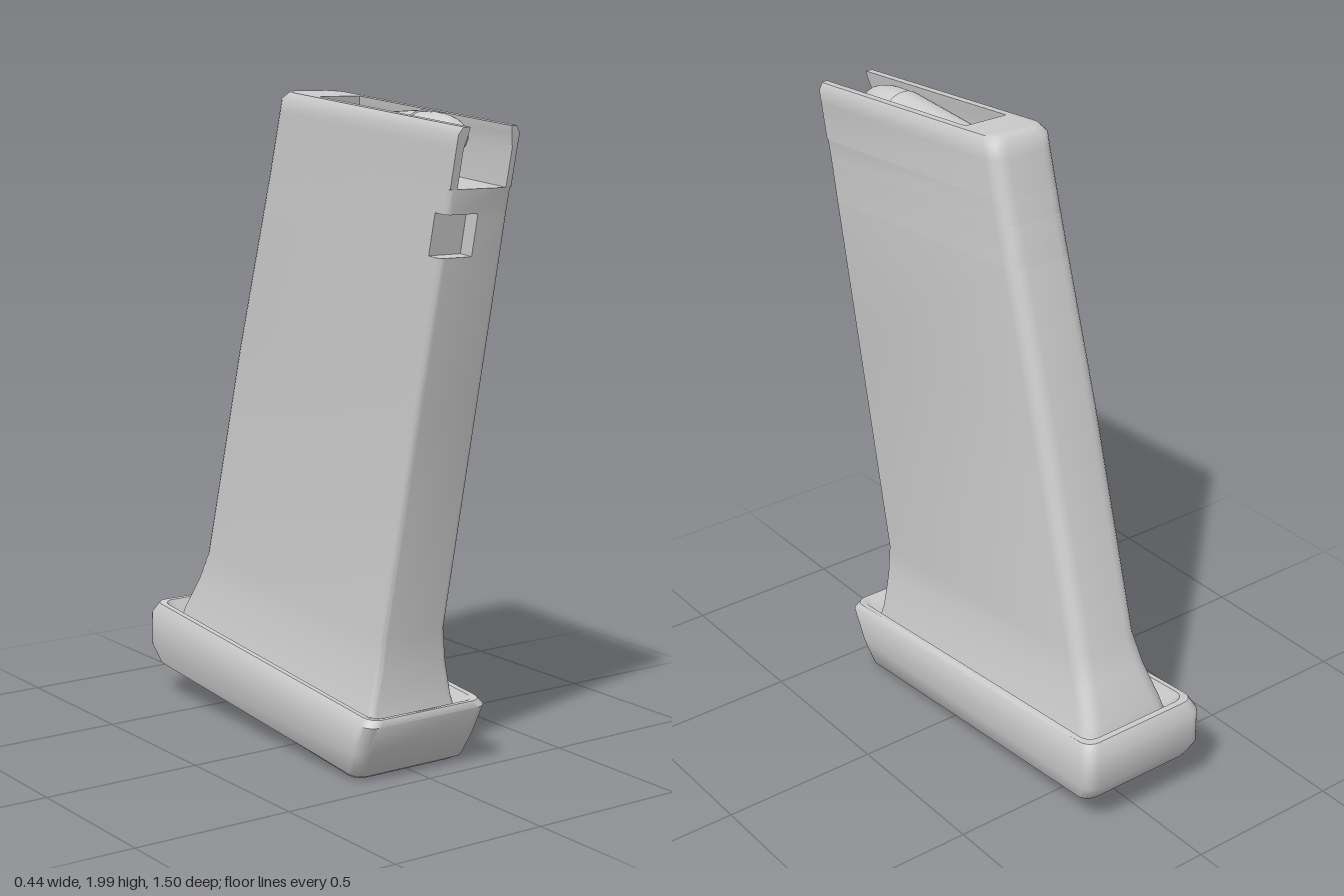
import * as THREE from 'three';
import { toCreasedNormals } from 'three/addons/utils/BufferGeometryUtils.js';

const lerp = THREE.MathUtils.lerp;
const grey = () => new THREE.MeshStandardMaterial({ color: 0xcccccc });

function named(name, geometry) {
  const mesh = new THREE.Mesh(geometry, grey());
  mesh.name = name;
  return mesh;
}

// Quarter-round corner, as points (x, -z)
function corner(cx, cv, r, quarter, steps = 5) {
  return Array.from({ length: steps + 1 }, (_, i) => {
    const a = (quarter + i / steps) * Math.PI / 2;
    return new THREE.Vector2(cx + r * Math.cos(a), cv + r * Math.sin(a));
  });
}

// Outlines seen from above, counter-clockwise. A section is { zf, yf, zb, yb, hw }
function outline(s, rf, rb, ending) {
  return [
    ...corner(s.hw - rf, rf - s.zf, rf, -1),
    ...corner(s.hw - rb, -s.zb - rb, rb, 0),
    ...corner(rb - s.hw, -s.zb - rb, rb, 1),
    ...ending,
  ];
}
const points = list => list.map(([x, z]) => new THREE.Vector2(x, -z));
const fullRing = (rf, rb) => s => outline(s, rf, rb, corner(rf - s.hw, rf - s.zf, rf, 2));
const catchRing = s => outline(s, 0.02, 0.05, points([
  [-s.hw, s.zf - 0.05], [0, s.zf - 0.05], [0, s.zf]]));
const openRing = s => outline(s, 0.012, 0.05, points([
  [-s.hw, s.zf], [-s.inner, s.zf], [-s.inner, s.zi], [s.inner, s.zi], [s.inner, s.zf]]));

// Skin through tilted sections, capped at both ends
function loft(sections, ringOf) {
  const rings = sections.map(ringOf);
  const n = rings[0].length;
  const pos = [], index = [];
  rings.forEach((ring, k) => {
    const s = sections[k];
    for (const p of ring) {
      const t = (-p.y - s.zb) / (s.zf - s.zb);
      pos.push(p.x, lerp(s.yb, s.yf, t), -p.y);
    }
  });
  for (let k = 0; k < rings.length - 1; k++) {
    for (let i = 0; i < n; i++) {
      const a = k * n + i, b = k * n + (i + 1) % n;
      index.push(a, b, b + n, a, b + n, a + n);
    }
  }
  const top = (rings.length - 1) * n;
  for (const [a, b, c] of THREE.ShapeUtils.triangulateShape(rings[0], [])) index.push(a, c, b);
  for (const [a, b, c] of THREE.ShapeUtils.triangulateShape(rings[rings.length - 1], [])) {
    index.push(top + a, top + b, top + c);
  }
  const geometry = new THREE.BufferGeometry();
  geometry.setAttribute('position', new THREE.Float32BufferAttribute(pos, 3));
  geometry.setIndex(index);
  return toCreasedNormals(geometry, 0.85);
}

const section = (zf, yf, zb, yb, hw, inner, zi) => ({ zf, yf, zb, yb, hw, inner, zi });

export function createModel() {
  const model = new THREE.Group();

  // Base plate with a raised rim and a groove around the body
  model.add(named('basePlate', loft([
    section(0.385, 0.01, -0.67, 0.115, 0.185),
    section(0.415, 0.025, -0.715, 0.125, 0.205),
    section(0.45, 0.10, -0.745, 0.18, 0.22),
    section(0.497, 0.195, -0.742, 0.29, 0.222),
    section(0.49, 0.215, -0.72, 0.325, 0.205),
    section(0.475, 0.215, -0.70, 0.325, 0.188),
    section(0.43, 0.165, -0.67, 0.27, 0.16),
  ], fullRing(0.04, 0.04))));

  // Slanted body, flared at the foot
  const catchLow = section(0.67, 1.56, -0.236, 1.64, 0.111);
  const catchHigh = section(0.696, 1.68, -0.20, 1.76, 0.11);
  const ledge = section(0.712, 1.75, -0.18, 1.83, 0.11, 0.085, 0.0);
  const body = new THREE.Group();
  body.name = 'body';
  body.add(named('lowerBody', loft([
    section(0.43, 0.15, -0.67, 0.26, 0.165),
    section(0.415, 0.22, -0.652, 0.32, 0.15),
    section(0.417, 0.33, -0.60, 0.42, 0.128),
    section(0.42, 0.43, -0.56, 0.51, 0.118),
    section(0.572, 1.12, -0.37, 1.2, 0.114),
    catchLow,
  ], fullRing(0.02, 0.05))));
  body.add(named('catchNotchBand', loft([catchLow, catchHigh], catchRing)));
  body.add(named('ledgeBand', loft([catchHigh, ledge], fullRing(0.02, 0.05))));

  // Open top: side walls and rear block, lips leaning inward
  body.add(named('feedLips', loft([
    ledge,
    section(0.737, 1.86, -0.148, 1.94, 0.11, 0.085, 0.025),
    section(0.746, 1.90, -0.137, 1.98, 0.11, 0.075, 0.036),
    section(0.75, 1.92, -0.115, 2.0, 0.095, 0.072, 0.04),
  ], openRing)));
  model.add(body);

  // Round: grooved rim, straight case, rounded nose
  const profile = [[0, 0], [0.073, 0], [0.078, 0.006], [0.078, 0.02], [0.064, 0.024],
    [0.064, 0.036], [0.078, 0.048], [0.078, 0.40], [0.074, 0.402]];
  for (let i = 1; i <= 10; i++) {
    const a = i / 10 * Math.PI / 2;
    profile.push([0.074 * Math.cos(a), 0.402 + 0.178 * Math.sin(a)]);
  }
  const round = named('round', toCreasedNormals(new THREE.LatheGeometry(
    profile.map(([r, y]) => new THREE.Vector2(Math.max(r, 0), y)), 32), 0.6));
  round.position.set(0, 1.855, 0.05);
  round.rotation.x = Math.PI / 2 - 0.06;
  model.add(round);

  return model;
}
